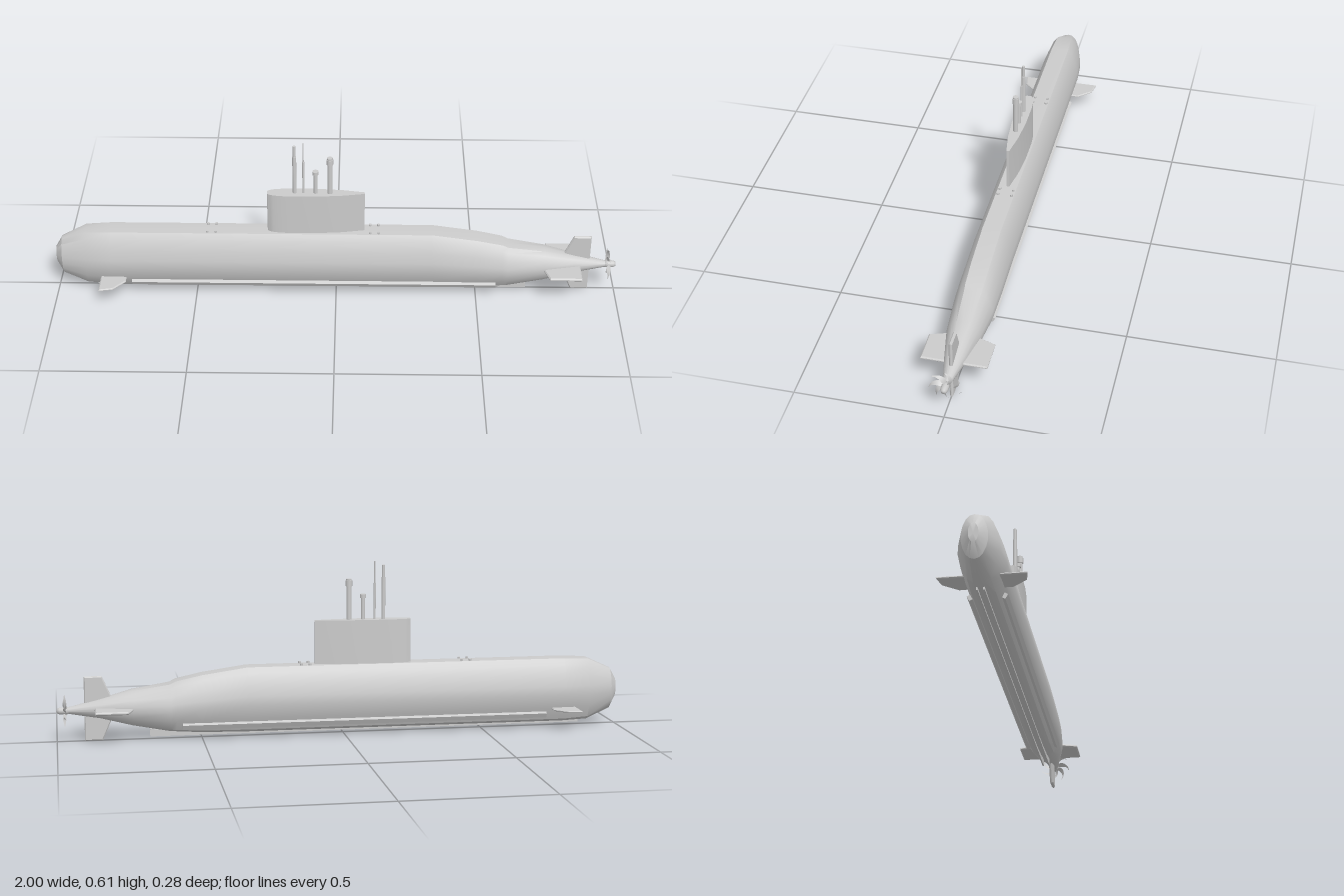
import * as THREE from 'three';
import { toCreasedNormals } from 'three/addons/utils/BufferGeometryUtils.js';

const grey = new THREE.MeshStandardMaterial({ color: 0xcccccc });
const greyThin = new THREE.MeshStandardMaterial({ color: 0xcccccc, side: THREE.DoubleSide });

// Hull stations along x: [x, bottom, top, half width, roundness]
const STATIONS = [
  [-1, 0.13, 0.13, 0, 1], [-1, 0.1, 0.165, 0.016, 1], [-0.977, 0.055, 0.205, 0.042, 0.8],
  [-0.89, 0.019, 0.245, 0.066, 0.2], [-0.8, 0.016, 0.248, 0.073, 0],
  [0.34, 0.016, 0.248, 0.073, 0], [0.5, 0.019, 0.225, 0.073, 0], [0.59, 0.025, 0.206, 0.071, 0.1],
  [0.61, 0.026, 0.196, 0.07, 0.2], [0.74, 0.05, 0.177, 0.058, 0.6], [0.85, 0.078, 0.147, 0.036, 1],
  [0.965, 0.098, 0.119, 0.011, 1], [0.965, 0.108, 0.108, 0, 1],
];
// Half cross-section, bottom to top: [share of half width, share of height]
const SECTION = [[0, 0], [0.25, 0.005], [0.52, 0.05], [0.82, 0.24], [1, 0.45],
  [0.97, 0.58], [0.84, 0.74], [0.64, 0.91], [0.44, 0.995], [0, 1]];

function hullGeometry() {
  const last = SECTION.length - 1;
  const n = last * 2;
  const pos = [], index = [];
  for (const [x, bottom, top, width, round] of STATIONS) {
    for (let j = 0; j < n; j++) {
      const k = j <= last ? j : n - j;
      const a = (k / last) * Math.PI;
      const u = THREE.MathUtils.lerp(SECTION[k][0], Math.sin(a), round);
      const v = THREE.MathUtils.lerp(SECTION[k][1], (1 - Math.cos(a)) / 2, round);
      pos.push(x, bottom + v * (top - bottom), (j <= last ? 1 : -1) * u * width);
    }
  }
  for (let i = 0; i < STATIONS.length - 1; i++) {
    for (let j = 0; j < n; j++) {
      const a = i * n + j, d = i * n + (j + 1) % n;
      index.push(a, a + n, d + n, a, d + n, d);
    }
  }
  const g = new THREE.BufferGeometry();
  g.setAttribute('position', new THREE.Float32BufferAttribute(pos, 3));
  g.setIndex(index);
  return toCreasedNormals(g, 0.55);
}

// Flat plate with thin bevelled edges, centred on its thickness
function plate(points, thickness) {
  const bevel = thickness * 0.35;
  const g = new THREE.ExtrudeGeometry(new THREE.Shape(points.map((p) => new THREE.Vector2(...p))), {
    depth: thickness - 2 * bevel, bevelEnabled: true, bevelThickness: bevel,
    bevelSize: 0.004, bevelOffset: -0.004, bevelSegments: 1,
  });
  return g.translate(0, 0, bevel - thickness / 2);
}

// Swept, twisted propeller blade around the x axis
function bladeGeometry() {
  const rows = 8, cols = 4, pos = [], index = [];
  for (let i = 0; i <= rows; i++) {
    const t = i / rows;
    const r = 0.009 + 0.047 * t;
    const chord = 0.004 + 0.016 * Math.sin(Math.PI * Math.pow(t, 0.8)) * (1 - 0.3 * t);
    const pitch = 0.95 - 0.45 * t;
    for (let j = 0; j <= cols; j++) {
      const s = (j / cols - 0.5) * chord;
      const a = 0.75 * t * t + (s * Math.cos(pitch)) / r;
      pos.push(s * Math.sin(pitch), r * Math.cos(a), r * Math.sin(a));
      if (i < rows && j < cols) {
        const q = i * (cols + 1) + j;
        index.push(q, q + 1, q + cols + 2, q, q + cols + 2, q + cols + 1);
      }
    }
  }
  const g = new THREE.BufferGeometry();
  g.setAttribute('position', new THREE.Float32BufferAttribute(pos, 3));
  g.setIndex(index);
  g.computeVertexNormals();
  return g;
}

export function createModel() {
  const model = new THREE.Group();
  const add = (name, geometry, x = 0, y = 0, z = 0, parent = model, material = grey) => {
    const m = new THREE.Mesh(geometry, material);
    m.name = name;
    m.position.set(x, y, z);
    parent.add(m);
    return m;
  };

  add('hull', hullGeometry());

  // Sail: blunt leading edge, tapered trailing edge
  const sail = new THREE.Shape();
  sail.moveTo(0.1, -0.005);
  sail.lineTo(0.1, 0.005);
  sail.lineTo(0.02, 0.018);
  sail.lineTo(-0.07, 0.025);
  sail.lineTo(-0.17, 0.025);
  sail.quadraticCurveTo(-0.235, 0.022, -0.242, 0.008);
  sail.lineTo(-0.242, -0.008);
  sail.quadraticCurveTo(-0.235, -0.022, -0.17, -0.025);
  sail.lineTo(-0.07, -0.025);
  sail.lineTo(0.02, -0.018);
  const sailGeo = new THREE.ExtrudeGeometry(sail, { depth: 0.172, bevelEnabled: false, curveSegments: 6 });
  add('sail', toCreasedNormals(sailGeo.rotateX(-Math.PI / 2), 0.6), 0, 0.23, 0);

  // Masts: each is a stack of [radius, from, to] cylinders
  const masts = {
    radarMast: [-0.145, [[0.007, 0.39, 0.55], [0.005, 0.55, 0.593]]],
    antennaMast: [-0.114, [[0.004, 0.39, 0.53], [0.002, 0.53, 0.606]]],
    snorkelMast: [-0.072, [[0.007, 0.39, 0.478], [0.011, 0.478, 0.491]]],
    periscopeMast: [-0.022, [[0.009, 0.39, 0.52], [0.012, 0.52, 0.54], [0.01, 0.54, 0.546]]],
  };
  for (const [name, [x, parts]] of Object.entries(masts)) {
    const mast = new THREE.Group();
    mast.name = name;
    model.add(mast);
    parts.forEach(([r, y0, y1], i) =>
      add(`${name}Section${i + 1}`, new THREE.CylinderGeometry(r, r, y1 - y0, 12), x, (y0 + y1) / 2, 0, mast));
  }

  // Bow and stern planes, bilge keels and bottom rails, mirrored on both sides
  const bowPlane = plate([[-0.84, 0.04], [-0.75, 0.04], [-0.748, 0.085], [-0.79, 0.132], [-0.84, 0.141]], 0.008);
  const sternPlane = plate([[0.73, 0.03], [0.87, 0.012], [0.87, 0.111], [0.757, 0.111]], 0.011);
  for (const [side, s] of [['left', 1], ['right', -1]]) {
    add(`${side}BowPlane`, bowPlane, 0, 0.07, 0).rotation.x = s * Math.PI / 2;
    add(`${side}SternPlane`, sternPlane, 0, 0.113, 0).rotation.x = s * Math.PI / 2;
    add(`${side}BilgeKeel`, new THREE.BoxGeometry(1.3, 0.018, 0.024), -0.08, 0.052, s * 0.05).rotation.x = s * 0.5;
    add(`${side}BottomRail`, new THREE.BoxGeometry(1.54, 0.024, 0.005), -0.09, 0.022, s * 0.011);
  }

  // Rudders
  const rudder = plate([[0.8, 0.015], [0.905, 0.005], [0.905, 0.115], [0.843, 0.115]], 0.012);
  add('upperRudder', rudder, 0, 0.111, 0);
  add('lowerRudder', rudder, 0, 0.115, 0).rotation.x = Math.PI;

  // Deck bollards in pairs
  for (const x of [-0.455, -0.425, 0.12, 0.15]) {
    for (const z of [-0.024, 0.024]) {
      add('bollard', new THREE.CylinderGeometry(0.005, 0.005, 0.012, 8), x, 0.248, z);
    }
  }

  // Propeller with seven swept blades
  const propeller = new THREE.Group();
  propeller.name = 'propeller';
  propeller.position.set(0.972, 0.108, 0);
  model.add(propeller);
  const hub = [[0, -0.015], [0.012, -0.015], [0.013, 0], [0.012, 0.018], [0.008, 0.026], [0, 0.028]];
  add('propellerHub', new THREE.LatheGeometry(hub.map((p) => new THREE.Vector2(...p)), 16), 0, 0, 0, propeller)
    .rotation.z = -Math.PI / 2;
  const blade = bladeGeometry();
  for (let i = 0; i < 7; i++) {
    add('propellerBlade', blade, 0, 0, 0, propeller, greyThin).rotation.x = (i / 7) * Math.PI * 2 - 0.75;
  }
  return model;
}
